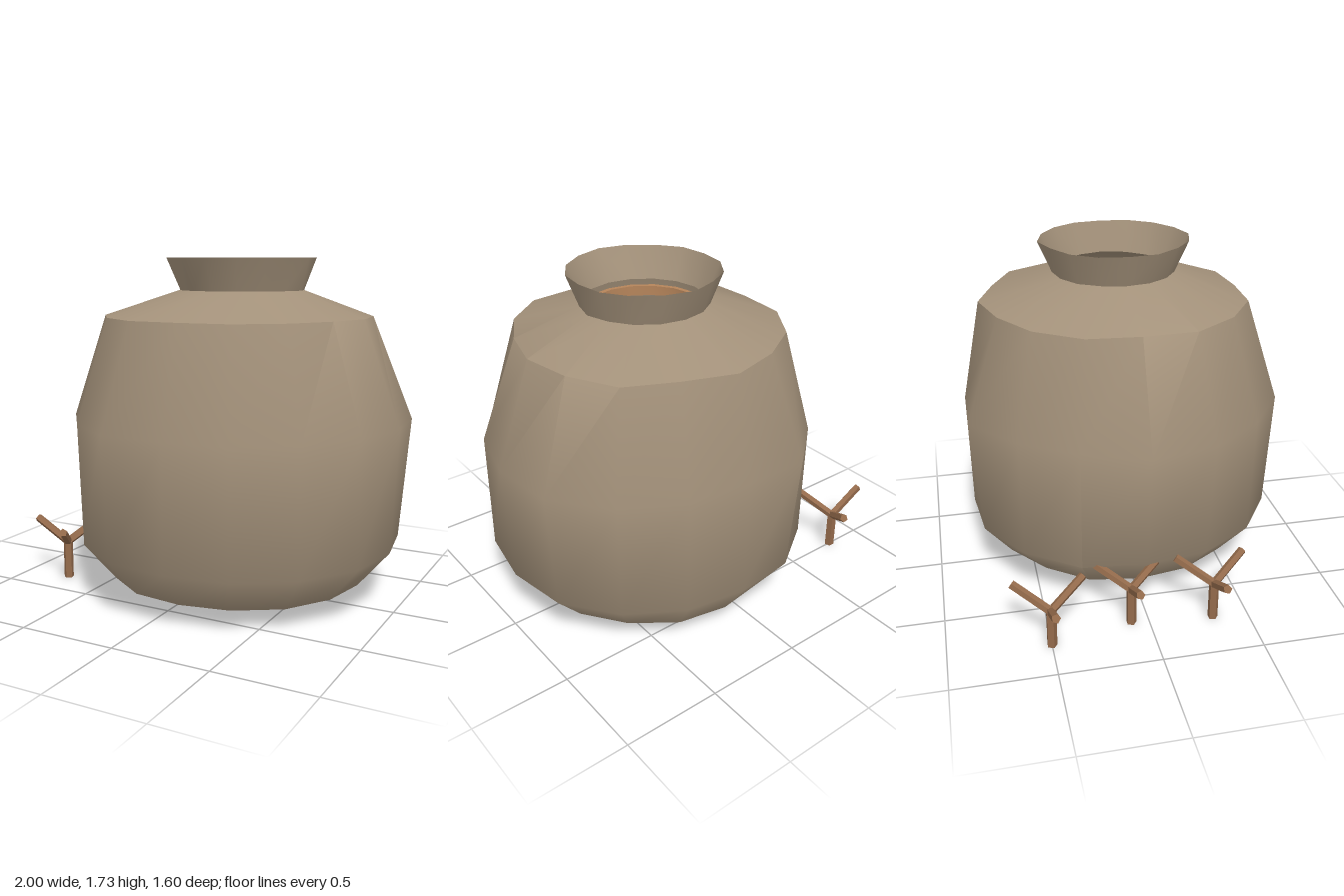
import * as THREE from 'three';
import { toCreasedNormals } from 'three/addons/utils/BufferGeometryUtils.js';

const SIDES = 16;
const CENTRE_X = 0.15;

// Hand-shaped rings from foot to rim: height plus one radius, or a radius per corner
// (corners run from +x towards -z)
const RINGS = [
  { y: 0.11, r: [0.66, 0.66, 0.65, 0.66, 0.66, 0.67, 0.65, 0.66, 0.65, 0.66, 0.67, 0.67, 0.65, 0.65, 0.66, 0.66] },
  { y: 0.30, r: [0.82, 0.83, 0.81, 0.80, 0.79, 0.82, 0.82, 0.83, 0.80, 0.82, 0.83, 0.83, 0.80, 0.81, 0.82, 0.83] },
  { y: 0.92, r: [0.85, 0.88, 0.85, 0.81, 0.80, 0.87, 0.83, 0.82, 0.88, 0.87, 0.85, 0.86, 0.80, 0.83, 0.82, 0.83] },
  { y: 1.44, r: [0.66, 0.67, 0.70, 0.66, 0.70, 0.68, 0.69, 0.69, 0.66, 0.70, 0.69, 0.69, 0.65, 0.68, 0.66, 0.64] },
  { y: 1.57, r: [0.33, 0.32, 0.32, 0.32, 0.32, 0.32, 0.32, 0.31, 0.31, 0.31, 0.31, 0.31, 0.31, 0.31, 0.31, 0.32] },
  { y: 1.73, r: [0.37, 0.38, 0.38, 0.38, 0.39, 0.37, 0.38, 0.38, 0.37, 0.38, 0.37, 0.38, 0.39, 0.38, 0.38, 0.38] },
];

// Open-topped shell lofted through the rings, closed by a flat foot
function jarGeometry() {
  const pos = [];
  const idx = [];
  RINGS.forEach(({ y, r }) => {
    for (let k = 0; k < SIDES; k++) {
      const a = (k / SIDES) * Math.PI * 2;
      pos.push(Math.cos(a) * r[k], y, -Math.sin(a) * r[k]);
    }
  });
  for (let j = 0; j < RINGS.length - 1; j++) {
    for (let k = 0; k < SIDES; k++) {
      const n = (k + 1) % SIDES;
      const a = j * SIDES + k, b = j * SIDES + n;
      idx.push(a, b, b + SIDES, a, b + SIDES, a + SIDES);
    }
  }
  const centre = pos.length / 3;
  pos.push(0, RINGS[0].y, 0);
  for (let k = 0; k < SIDES; k++) idx.push(centre, (k + 1) % SIDES, k);

  const g = new THREE.BufferGeometry();
  g.setAttribute('position', new THREE.Float32BufferAttribute(pos, 3));
  g.setIndex(idx);
  return toCreasedNormals(g, 0.85);
}

// Thin prism stick between two points
function stick(name, from, to, radius, material) {
  const dir = to.clone().sub(from);
  const g = new THREE.CylinderGeometry(radius, radius, dir.length(), 5);
  const mesh = new THREE.Mesh(toCreasedNormals(g, 0.5), material);
  mesh.name = name;
  mesh.position.copy(from).addScaledVector(dir, 0.5);
  mesh.quaternion.setFromUnitVectors(new THREE.Vector3(0, 1, 0), dir.normalize());
  return mesh;
}

// Upright stem with three rising arms
function twig(x, z, material) {
  const group = new THREE.Group();
  group.name = 'twig';
  const fork = new THREE.Vector3(0, 0.2, 0);
  group.add(stick('stem', new THREE.Vector3(), fork, 0.026, material));
  for (let i = 0; i < 3; i++) {
    const a = Math.PI + (i * Math.PI * 2) / 3;
    const tip = new THREE.Vector3(Math.cos(a) * 0.2, 0.31, Math.sin(a) * 0.2);
    group.add(stick('arm', fork, tip, 0.022, material));
  }
  group.position.set(x, 0, z);
  return group;
}

export function createModel() {
  const model = new THREE.Group();
  model.name = 'jarWithTwigs';

  const clay = new THREE.MeshStandardMaterial({ color: 0xa3917a, side: THREE.DoubleSide });
  clay.name = 'clay';
  const wood = new THREE.MeshStandardMaterial({ color: 0x936a4b });
  wood.name = 'wood';
  const copper = new THREE.MeshStandardMaterial({ color: 0xb5845a });
  copper.name = 'copper';

  // Jar body with flared neck
  const jar = new THREE.Mesh(jarGeometry(), clay);
  jar.name = 'jar';
  jar.position.x = CENTRE_X;
  model.add(jar);

  // Hoop inside, just under the mouth
  const band = [[0.285, 1.49], [0.31, 1.49], [0.31, 1.54], [0.285, 1.54], [0.285, 1.49]]
    .map(([r, y]) => new THREE.Vector2(r, y));
  const hoop = new THREE.Mesh(toCreasedNormals(new THREE.LatheGeometry(band, SIDES), 0.6), copper);
  hoop.name = 'innerHoop';
  hoop.position.x = CENTRE_X;
  model.add(hoop);

  // Twigs standing beside the jar
  [[-0.79, -0.5], [-0.7, -0.09], [-0.74, 0.32]].forEach(([x, z]) => model.add(twig(x, z, wood)));

  return model;
}
